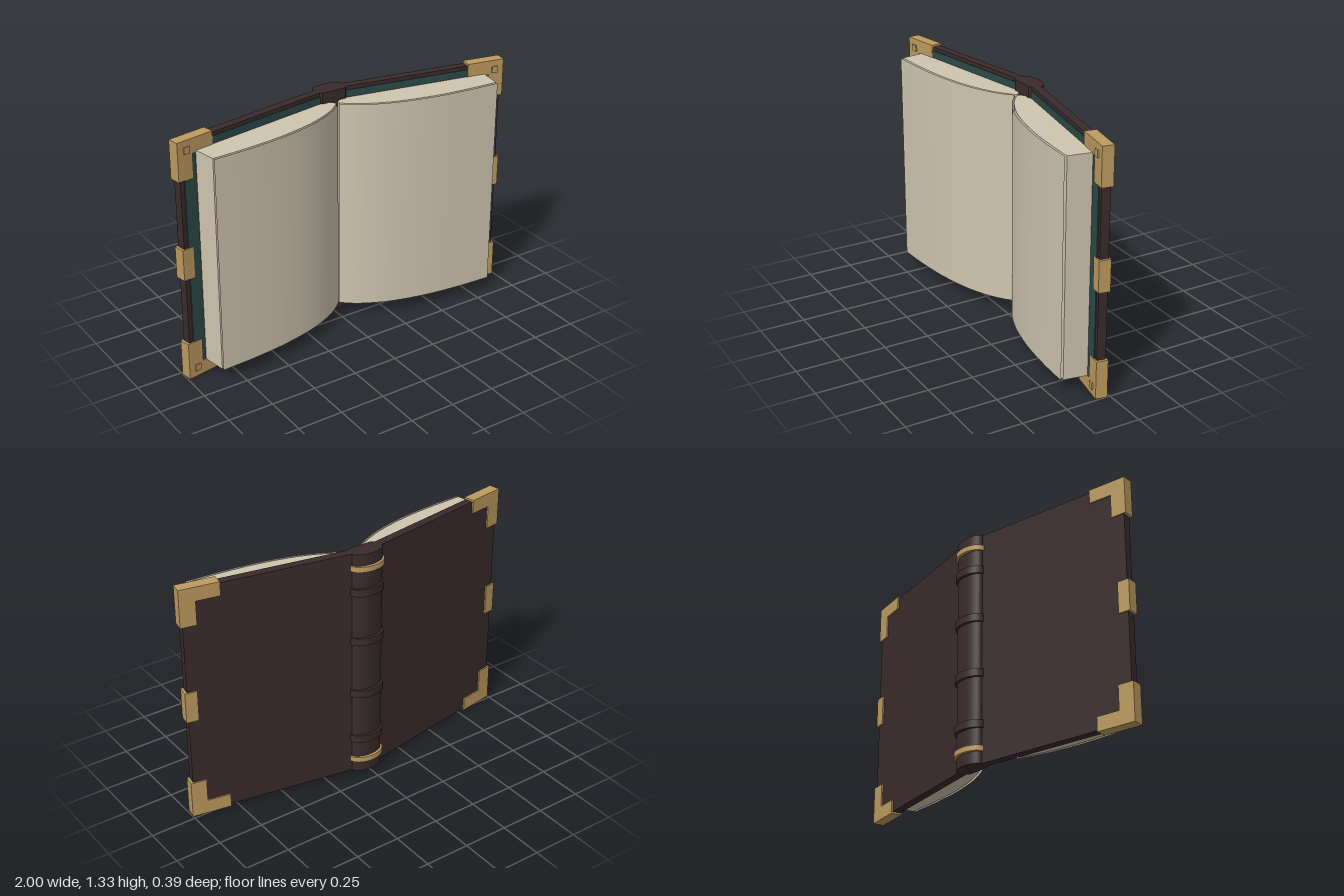
import * as THREE from 'three';

const HEIGHT = 1.333;
const TILT = THREE.MathUtils.degToRad(10);

const material = (name, color, side = THREE.FrontSide) => {
  const m = new THREE.MeshStandardMaterial({ color, side });
  m.name = name;
  return m;
};

export function createModel() {
  const leather = material('dark leather', 0x3a2b2b);
  const brass = material('brass', 0xbd9a5f);
  const teal = material('teal endpaper', 0x2c4a48);
  const paper = material('paper', 0xcfc5af, THREE.DoubleSide);

  const book = new THREE.Group();
  book.name = 'openBook';

  const add = (parent, name, geometry, mat) => {
    const mesh = new THREE.Mesh(geometry, mat);
    mesh.name = name;
    parent.add(mesh);
    return mesh;
  };

  // Box given by its ranges along each axis
  const boxBetween = (x0, x1, y0, y1, z0, z1) =>
    new THREE.BoxGeometry(Math.abs(x1 - x0), y1 - y0, z1 - z0)
      .translate((x0 + x1) / 2, (y0 + y1) / 2, (z0 + z1) / 2);

  // Upright prism from a plan outline of (x, -z) points
  const upright = (shape, y0, y1) =>
    new THREE.ExtrudeGeometry(shape, { depth: y1 - y0, bevelEnabled: false, curveSegments: 24 })
      .rotateX(-Math.PI / 2)
      .translate(0, y0, 0);

  // Rounded spine outline, with a tapered inner block toward the pages
  const dome = (rx, rz) => new THREE.Shape().absellipse(0, 0.132, rx, rz, 0, Math.PI, false);
  const spineShape = dome(0.093, 0.05);
  spineShape.lineTo(-0.086, 0.095);
  spineShape.lineTo(-0.07, 0.077);
  spineShape.lineTo(0.07, 0.077);
  spineShape.lineTo(0.086, 0.095);
  spineShape.closePath();
  add(book, 'spine', upright(spineShape, 0.01, 1.322), leather);

  // Raised spine bands
  const band = (name, y, height, mat) => {
    const shape = dome(0.102, 0.066);
    shape.closePath();
    add(book, name, upright(shape, y - height / 2, y + height / 2), mat);
  };
  for (const y of [0.223, 0.508, 0.824, 1.109]) band('spineBand', y, 0.043, leather);
  for (const y of [0.09, 1.243]) band('brassSpineBand', y, 0.03, brass);

  // Front curve of the page block, from gutter to fore edge
  const pageCurve = new THREE.CatmullRomCurve3([
    [0.002, -0.05], [0.06, 0], [0.14, 0.048], [0.26, 0.098],
    [0.46, 0.147], [0.67, 0.173], [0.857, 0.184],
  ].map(([x, z]) => new THREE.Vector3(x, 0, z)));

  for (const s of [1, -1]) {
    const sideName = s > 0 ? 'left' : 'right';

    // Tilted cover; local x runs from hinge to fore edge, z toward the pages
    const cover = new THREE.Group();
    cover.name = sideName + 'Cover';
    cover.position.set(s * 0.079, 0, -0.138);
    cover.rotation.y = -s * TILT;
    book.add(cover);
    add(cover, 'coverBoard', boxBetween(0, s * 0.92, 0.01, 1.322, 0, 0.047), leather);
    add(cover, 'endpaper', boxBetween(s * 0.01, s * 0.896, 0.03, 1.302, 0.046, 0.052), teal);

    // L-shaped brass corners with square studs
    for (const top of [false, true]) {
      const Y = (y) => (top ? HEIGHT - y : y);
      const outline = [[0.72, 0], [0.934, 0], [0.934, 0.208], [0.848, 0.208], [0.848, 0.077], [0.72, 0.077]]
        .map(([x, y]) => new THREE.Vector2(s * x, Y(y)));
      const corner = new THREE.ExtrudeGeometry(new THREE.Shape(outline), { depth: 0.063, bevelEnabled: false });
      add(cover, 'cornerGuard', corner.translate(0, 0, -0.008), brass);
      const stud = new THREE.BoxGeometry(0.034, 0.036, 0.01).translate(s * 0.881, Y(0.052), 0.057);
      add(cover, 'cornerStud', stud, brass);
    }

    // Fore-edge clasp
    add(cover, 'clasp', boxBetween(s * 0.868, s * 0.934, 0.581, 0.753, -0.008, 0.055), brass);

    // Page block lying on the cover
    const front = pageCurve.getPoints(24).map((p) => new THREE.Vector2(s * p.x, -p.z));
    const back = [[0.88, 0.056], [0.08, -0.085], [0.03, -0.08]]
      .map(([x, z]) => new THREE.Vector2(s * x, -z));
    add(book, sideName + 'PageBlock', upright(new THREE.Shape([...front, ...back]), 0.073, 1.262), paper);

    // Top leaf, a thin open sheet just above the block
    const leaf = new THREE.PlaneGeometry(1, 1.189, 24, 1);
    const pos = leaf.attributes.position;
    for (let i = 0; i < pos.count; i++) {
      const p = pageCurve.getPoint(THREE.MathUtils.clamp(pos.getX(i) * s + 0.5, 0, 1));
      pos.setXYZ(i, s * p.x, pos.getY(i) + 0.6675, p.z + 0.013);
    }
    leaf.computeVertexNormals();
    add(book, sideName + 'TopLeaf', leaf, paper);
  }

  return book;
}
